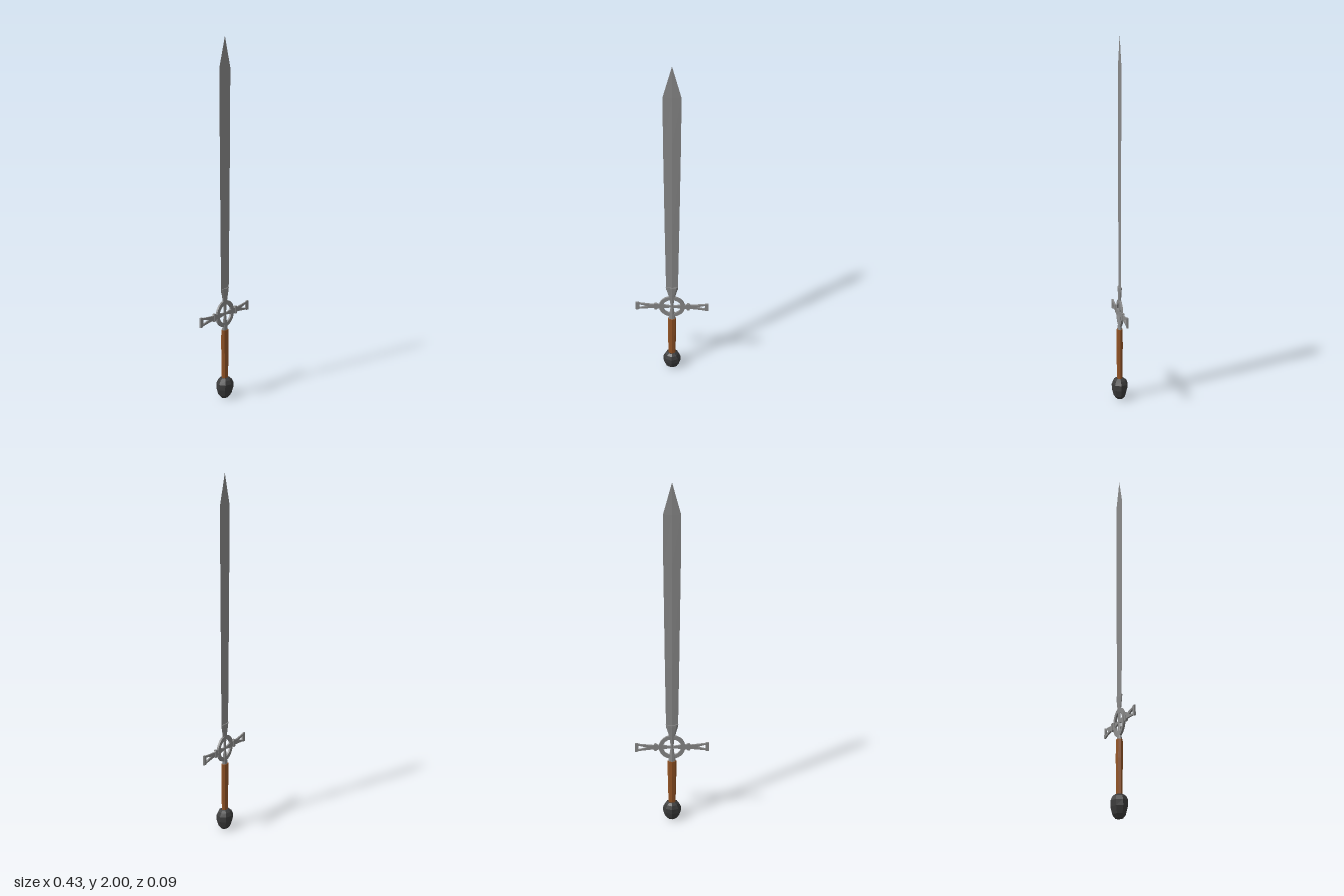
import * as THREE from 'three';

const steel = new THREE.MeshStandardMaterial({ color: 0x8a8a8a, flatShading: true });
const wood = new THREE.MeshStandardMaterial({ color: 0x935426, flatShading: true });
const iron = new THREE.MeshStandardMaterial({ color: 0x3c3c3c, flatShading: true });

const GUARD_Y = 0.493;

// Capped solid from stacked elliptical sections [y, half width, half depth]
function loft(name, sections, sides, material) {
  const pos = [], index = [];
  for (const [y, hx, hz] of sections) {
    for (let i = 0; i < sides; i++) {
      const a = (i / sides) * Math.PI * 2;
      pos.push(hx * Math.cos(a), y, hz * Math.sin(a));
    }
  }
  const last = (sections.length - 1) * sides;
  for (let s = 0; s < last; s += sides) {
    for (let i = 0; i < sides; i++) {
      const j = (i + 1) % sides;
      index.push(s + i, s + sides + i, s + j, s + j, s + sides + i, s + sides + j);
    }
  }
  for (let i = 1; i < sides - 1; i++) {
    index.push(0, i, i + 1, last, last + i + 1, last + i);
  }
  const geo = new THREE.BufferGeometry();
  geo.setAttribute('position', new THREE.Float32BufferAttribute(pos, 3));
  geo.setIndex(index);
  geo.computeVertexNormals();
  const mesh = new THREE.Mesh(geo, material);
  mesh.name = name;
  return mesh;
}

// Flat plate extruded evenly about z = 0 at guard height
function plate(name, shape, depth) {
  const geo = new THREE.ExtrudeGeometry(shape, { depth, bevelEnabled: false, curveSegments: 18 });
  geo.translate(0, GUARD_Y, -depth / 2);
  const mesh = new THREE.Mesh(geo, steel);
  mesh.name = name;
  return mesh;
}

const points = (list) => list.map(([x, y]) => new THREE.Vector2(x, y));

export function createModel() {
  const sword = new THREE.Group();
  sword.name = 'sword';

  // Blade: diamond section, widening slightly up to the point
  sword.add(loft('blade', [
    [0.62, 0.034, 0.0045], [1.0, 0.039, 0.0045], [1.57, 0.045, 0.004],
    [1.84, 0.046, 0.0035], [2.0, 0.0005, 0.0003],
  ], 4, steel));

  // Central stem: grip socket, narrow waist and blade collar
  sword.add(loft('stem', [
    [0.395, 0.022, 0.013], [0.42, 0.018, 0.011], [0.455, 0.013, 0.008],
    [GUARD_Y, 0.008, 0.005], [0.535, 0.012, 0.006], [0.575, 0.02, 0.008],
    [0.625, 0.033, 0.01], [0.64, 0.036, 0.01],
  ], 8, steel));

  // Guard ring
  const guard = new THREE.Group();
  guard.name = 'guard';
  const ring = new THREE.Shape().absarc(0, 0, 0.076, 0, Math.PI * 2);
  ring.holes.push(new THREE.Path().absarc(0, 0, 0.053, 0, Math.PI * 2, true));
  guard.add(plate('guardRing', ring, 0.011));

  // Arm: inner spoke, bead, and flared end with a triangular opening
  const upper = [
    [0, 0.006], [0.03, 0.009], [0.058, 0.016], [0.08, 0.014], [0.09, 0.021], [0.1, 0.021],
    [0.107, 0.013], [0.13, 0.015], [0.19, 0.022], [0.198, 0.027], [0.213, 0.027],
  ];
  const lower = upper.map(([x, y]) => [x, -y]);
  const arm = new THREE.Shape(points([...lower, ...upper.reverse()]));
  arm.holes.push(new THREE.Path(points([[0.142, 0], [0.192, 0.013], [0.192, -0.013]])));
  const bead = new THREE.Shape(points([
    [0.088, -0.022], [0.102, -0.022], [0.102, 0.022], [0.088, 0.022],
  ]));
  for (const side of ['left', 'right']) {
    const half = new THREE.Group();
    half.name = side + 'Arm';
    half.add(plate('armPlate', arm, 0.009), plate('armBead', bead, 0.013));
    if (side === 'right') half.rotation.y = Math.PI;
    guard.add(half);
  }
  sword.add(guard);

  // Faceted wooden grip
  sword.add(loft('grip', [
    [0.1, 0.021, 0.015], [0.16, 0.022, 0.016], [0.3, 0.025, 0.018], [0.4, 0.025, 0.017],
  ], 8, wood));

  // Faceted pommel
  sword.add(loft('pommel', [
    [0, 0.026, 0.02], [0.018, 0.043, 0.034], [0.055, 0.054, 0.044],
    [0.085, 0.052, 0.046], [0.106, 0.04, 0.037], [0.117, 0.024, 0.022],
  ], 8, iron));

  return sword;
}
